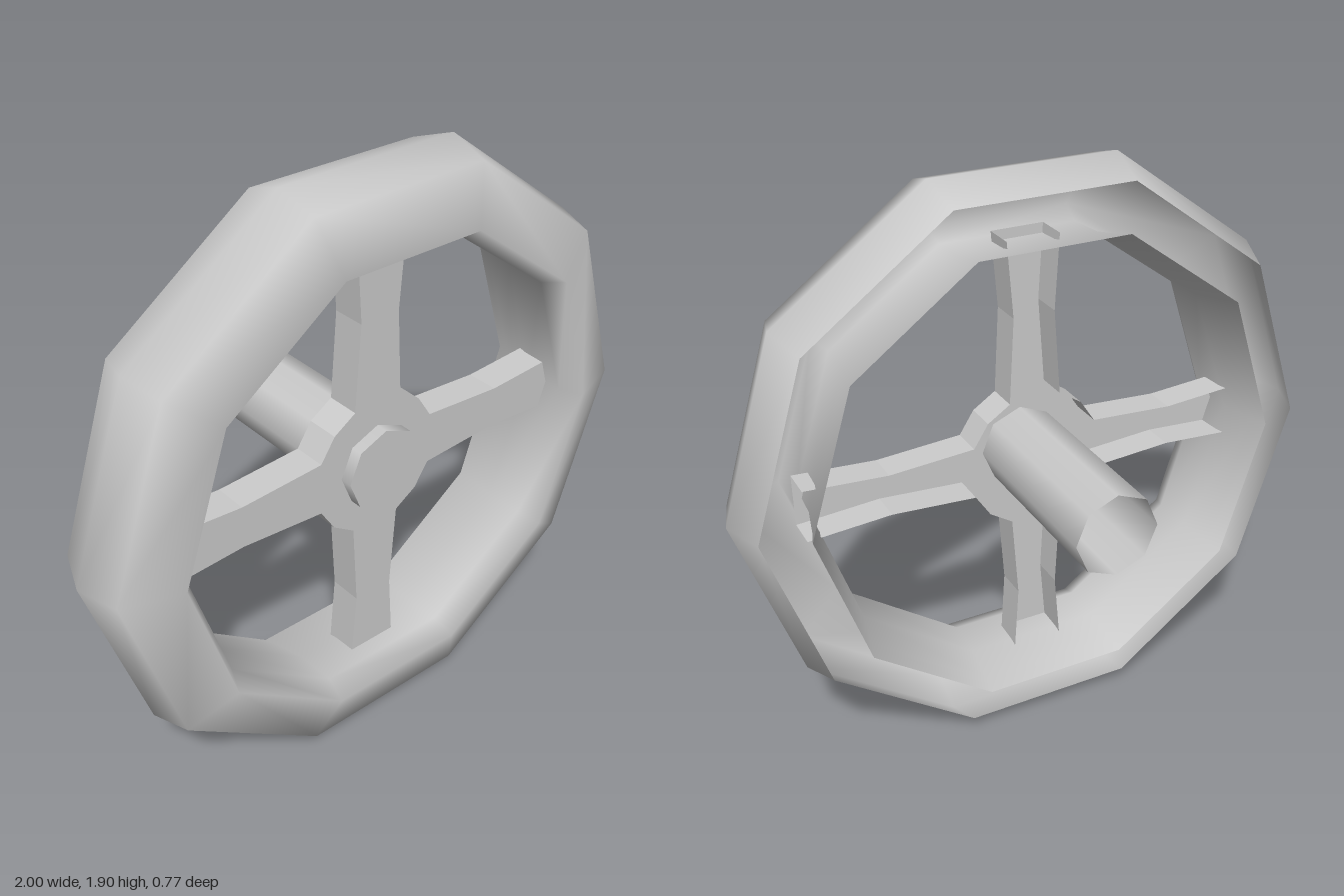
import * as THREE from 'three';

const CENTER_Y = 0.951;
const material = new THREE.MeshStandardMaterial({ color: 0xcccccc, side: THREE.DoubleSide });

function addMesh(parent, name, geometry) {
  const mesh = new THREE.Mesh(geometry, material);
  mesh.name = name;
  parent.add(mesh);
  return mesh;
}

// Ten-sided rim: a shell with a U-shaped section, open at the back
function rimGeometry() {
  const profile = [
    [0.945, 0.045], [1, 0.19], [0.96, 0.325], [0.78, 0.385],
    [0.745, 0.31], [0.753, 0.17], [0.783, 0.045], [0.8, -0.01],
  ].map(([r, z]) => new THREE.Vector2(r, z));
  return new THREE.LatheGeometry(profile, 10, Math.PI / 2).rotateX(Math.PI / 2);
}

// Four-armed outline, one quarter turned four times
function spokeOutline() {
  const points = [];
  for (let k = 0; k < 4; k++) {
    const end = k % 2 ? 0.745 : 0.775;
    const nextEnd = 0.5;
    const quarter = [
      [end, -0.088], [end, 0.088], [0.5, 0.07], [0.215, 0.088],
      [0.165, 0.165], [0.088, 0.215], [0.07, nextEnd],
    ];
    for (const [x, y] of quarter) {
      points.push(new THREE.Vector2(x, y).rotateAround(new THREE.Vector2(), k * Math.PI / 2));
    }
  }
  return points;
}

// Side flanges following the outline, left open at the four spoke ends
function flangeGeometry(outline, front, back) {
  const positions = [];
  outline.forEach((a, i) => {
    if (i % 7 === 0) return;
    const b = outline[(i + 1) % outline.length];
    positions.push(
      a.x, a.y, front, a.x, a.y, back, b.x, b.y, back,
      a.x, a.y, front, b.x, b.y, back, b.x, b.y, front,
    );
  });
  const geometry = new THREE.BufferGeometry();
  geometry.setAttribute('position', new THREE.Float32BufferAttribute(positions, 3));
  geometry.computeVertexNormals();
  return geometry;
}

export function createModel() {
  const wheel = new THREE.Group();
  wheel.name = 'handWheel';
  wheel.position.y = CENTER_Y;

  addMesh(wheel, 'rim', rimGeometry());

  // Hollow-backed spokes and hub plate
  const spokes = new THREE.Group();
  spokes.name = 'spokes';
  wheel.add(spokes);
  const outline = spokeOutline();
  const front = 0.25;
  addMesh(spokes, 'spokePlate', new THREE.ShapeGeometry(new THREE.Shape(outline)).translate(0, 0, front));
  addMesh(spokes, 'spokeFlanges', flangeGeometry(outline, front, 0.14));

  // Eight-sided shaft, capped in front and open at the back
  const shaftFront = 0.29, shaftBack = -0.385, radius = 0.137;
  const shaft = new THREE.CylinderGeometry(radius, radius, shaftFront - shaftBack, 8, 1, true);
  shaft.rotateX(Math.PI / 2).translate(0, 0, (shaftFront + shaftBack) / 2);
  addMesh(wheel, 'shaft', shaft);
  addMesh(wheel, 'shaftCap', new THREE.CircleGeometry(radius, 8).translate(0, 0, shaftFront));

  const model = new THREE.Group();
  model.add(wheel);
  return model;
}
